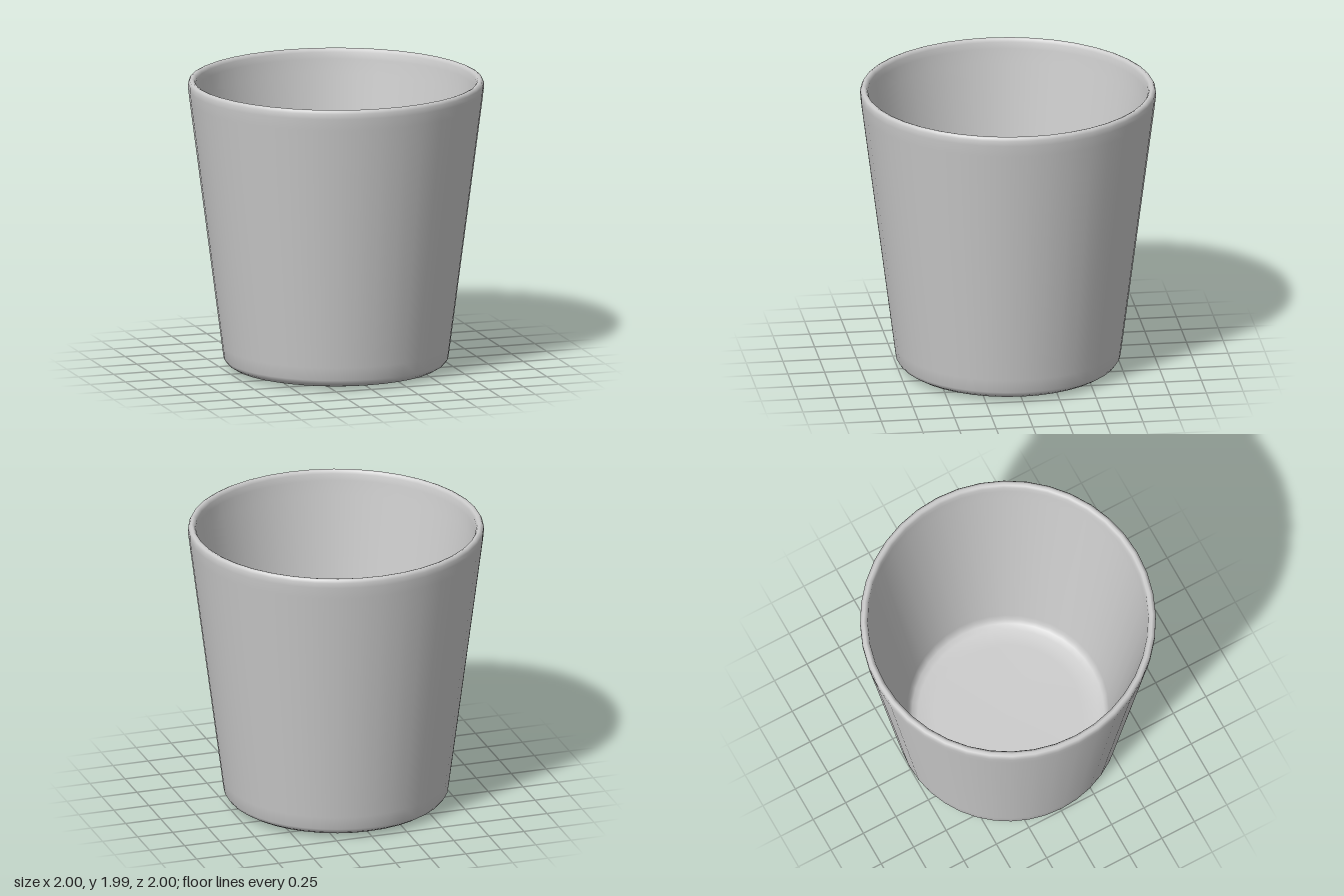
import * as THREE from 'three';

const SEGMENTS = 40;

export function createModel() {
  const group = new THREE.Group();
  group.name = 'cup';

  // Closed wall section: underside, outer wall, rounded rim, inner wall, floor
  const profile = [
    [0, 0], [0.45, 0.001], [0.64, 0.005], [0.705, 0.02], [0.74, 0.042], [0.76, 0.07], [0.772, 0.16],
    [0.99, 1.85], [0.999, 1.93], [0.999, 1.965], [0.99, 1.983], [0.975, 1.99],
    [0.959, 1.984], [0.948, 1.965], [0.942, 1.92], [0.929, 1.82],
    [0.682, 0.18], [0.671, 0.135], [0.65, 0.105], [0.61, 0.088], [0.5, 0.08], [0, 0.075],
  ].map(([r, y]) => new THREE.Vector2(r, y));

  const body = new THREE.Mesh(
    new THREE.LatheGeometry(profile, SEGMENTS),
    new THREE.MeshStandardMaterial({ color: 0xcccccc })
  );
  body.name = 'cupBody';
  group.add(body);

  return group;
}
